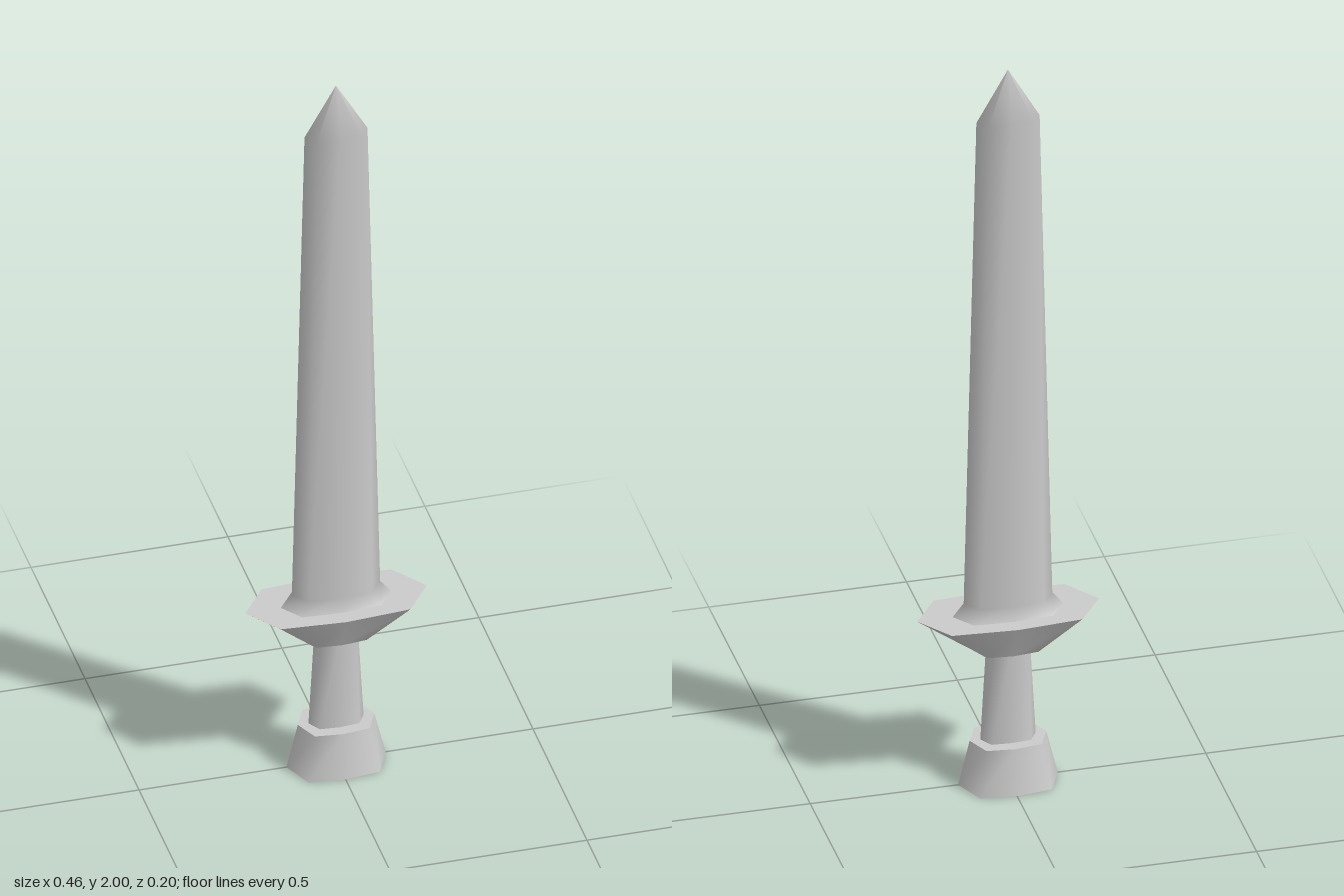
import * as THREE from 'three';

// Shared eight-point outline, as fractions of half width (x) and half depth (z)
const OUTLINE = [[1, 0], [0.717, 0.88], [0, 1], [-0.717, 0.88], [-1, 0], [-0.717, -0.88], [0, -1], [0.717, -0.88]];
const N = OUTLINE.length;

// Lofts rings of [y, half width, half depth] with smooth sides and sharp flat caps
function loft(name, rings, material) {
  const pos = [], index = [];
  const addRing = ([y, a, b]) => OUTLINE.forEach(([x, z]) => pos.push(x * a, y, z * b));
  rings.forEach(addRing);
  for (let r = 0; r < rings.length - 1; r++) {
    for (let i = 0; i < N; i++) {
      const j = (i + 1) % N;
      const p = r * N + i, q = r * N + j;
      index.push(p, p + N, q);
      if (rings[r + 1][1] > 0) index.push(q, p + N, q + N);
    }
  }
  // Caps get their own vertices; a ring of zero width is a point and needs none
  [[rings[0], false], [rings[rings.length - 1], true]].forEach(([ring, up]) => {
    if (ring[1] === 0) return;
    const s = pos.length / 3;
    addRing(ring);
    for (let i = 1; i < N - 1; i++) {
      if (up) index.push(s, s + i + 1, s + i);
      else index.push(s, s + i, s + i + 1);
    }
  });
  const geometry = new THREE.BufferGeometry();
  geometry.setAttribute('position', new THREE.Float32BufferAttribute(pos, 3));
  geometry.setIndex(index);
  geometry.computeVertexNormals();
  const mesh = new THREE.Mesh(geometry, material);
  mesh.name = name;
  return mesh;
}

export function createModel() {
  const group = new THREE.Group();
  group.name = 'sword';
  const grey = new THREE.MeshStandardMaterial({ color: 0xcccccc });
  group.add(
    loft('pommel', [[0, 0.126, 0.09], [0.12, 0.097, 0.068]], grey),
    loft('grip', [[0.12, 0.07, 0.037], [0.375, 0.056, 0.031]], grey),
    loft('guard', [[0.375, 0.09, 0.055], [0.475, 0.23, 0.102]], grey),
    // flared shoulder, long taper, pointed tip
    loft('blade', [[0.475, 0.14, 0.061], [0.51, 0.112, 0.049], [1.86, 0.08, 0.034], [2, 0, 0]], grey),
  );
  return group;
}
